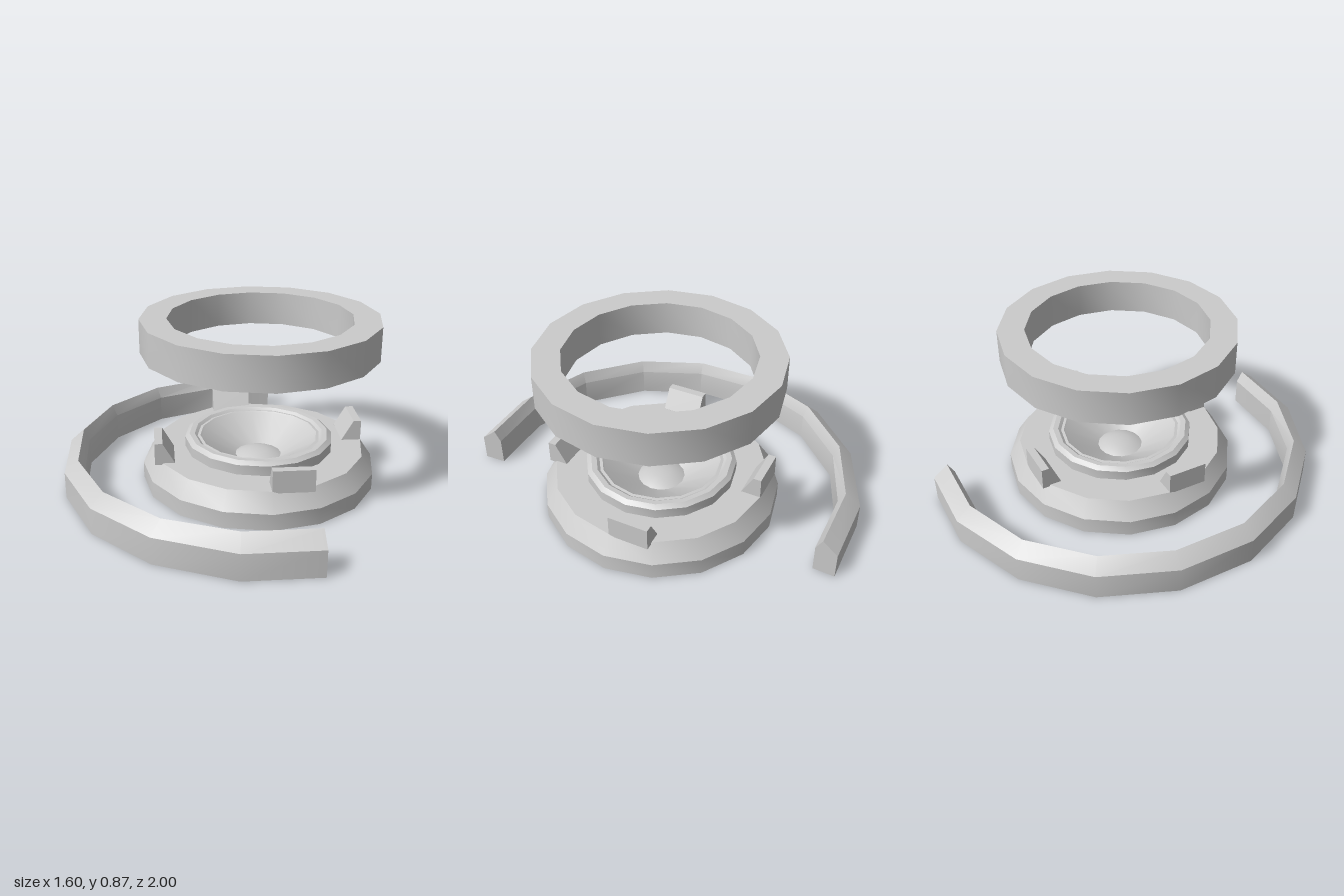
import * as THREE from 'three';
import { toCreasedNormals } from 'three/addons/utils/BufferGeometryUtils.js';

const SIDES = 16;
const material = new THREE.MeshStandardMaterial({ color: 0xcccccc, side: THREE.DoubleSide });

function part(name, geometry) {
  const mesh = new THREE.Mesh(toCreasedNormals(geometry, 0.5), material);
  mesh.name = name;
  return mesh;
}

// Turned part from [radius, height] pairs
function turned(name, profile) {
  const points = profile.map(([r, y]) => new THREE.Vector2(r, y));
  return part(name, new THREE.LatheGeometry(points, SIDES));
}

// Skin a loop of cross-sections (arrays of [x, y, z]) and cap both ends
function loft(sections) {
  const pos = [];
  const tri = (a, b, c) => pos.push(...a, ...b, ...c);
  const n = sections[0].length;
  for (let i = 0; i < sections.length - 1; i++) {
    for (let j = 0; j < n; j++) {
      const k = (j + 1) % n;
      const a = sections[i][j], b = sections[i][k];
      const c = sections[i + 1][k], d = sections[i + 1][j];
      tri(a, c, b);
      tri(a, d, c);
    }
  }
  const first = sections[0], last = sections[sections.length - 1];
  for (let j = 1; j < n - 1; j++) {
    tri(first[0], first[j], first[j + 1]);
    tri(last[0], last[j + 1], last[j]);
  }
  const geometry = new THREE.BufferGeometry();
  geometry.setAttribute('position', new THREE.Float32BufferAttribute(pos, 3));
  return geometry;
}

// C-shaped barrier: ridge profile swept along a mirrored path
function createBarrier() {
  const outerHalf = [[0.37, -1], [0, -1], [-0.375, -0.84], [-0.65, -0.565], [-0.8, -0.2]];
  const innerHalf = [[0.365, -0.89], [0.015, -0.89], [-0.31, -0.762], [-0.565, -0.508], [-0.7, -0.185]];
  const mirror = (half) => [...half, ...half.map(([x, z]) => [x, -z]).reverse()];
  const outer = mirror(outerHalf), inner = mirror(innerHalf);
  const sections = outer.map(([ox, oz], i) => {
    const [ix, iz] = inner[i];
    const at = (t, y) => [ox + (ix - ox) * t, y, oz + (iz - oz) * t];
    return [at(0, 0), at(0, 0.135), at(0.7, 0.197), at(1, 0.14), at(1, 0)];
  });
  return part('curvedBarrier', loft(sections));
}

// Wedge bracket extruded along the tangent, leaning towards the centre
function createBracket() {
  const shape = new THREE.Shape();
  [[0.445, 0.165], [0.545, 0.165], [0.545, 0.28], [0.505, 0.28], [0.445, 0.175]]
    .forEach(([r, y], i) => (i ? shape.lineTo(r, y) : shape.moveTo(r, y)));
  const geometry = new THREE.ExtrudeGeometry(shape, { depth: 0.205, bevelEnabled: false });
  geometry.translate(0, 0, -0.205);
  return part('bracket', geometry);
}

export function createModel() {
  const model = new THREE.Group();
  model.name = 'model';
  model.add(createBarrier());

  const emitter = new THREE.Group();
  emitter.name = 'emitter';
  emitter.position.x = 0.195;
  model.add(emitter);

  // Hollow base, open underneath
  emitter.add(turned('base', [[0.605, 0], [0.605, 0.085], [0.545, 0.174], [0.385, 0.174]]));

  // Raised rim, flexible surround and sunken cone
  emitter.add(turned('rimAndCone', [
    [0.385, 0.172], [0.385, 0.225], [0.362, 0.242], [0.335, 0.24],
    [0.32, 0.228], [0.305, 0.23], [0.295, 0.222], [0.12, 0.115],
  ]));

  // Domed cap at the bottom of the cone
  emitter.add(turned('domeCap', [[0.12, 0.115], [0.09, 0.13], [0.05, 0.14], [0, 0.144]]));

  // Floating ring overhead
  emitter.add(turned('floatingRing', [
    [0.605, 0.69], [0.605, 0.865], [0.468, 0.865], [0.468, 0.69], [0.605, 0.69],
  ]));

  // Pinwheel of four brackets
  for (let i = 0; i < 4; i++) {
    const bracket = createBracket();
    bracket.rotation.y = (i * Math.PI) / 2;
    emitter.add(bracket);
  }
  return model;
}
